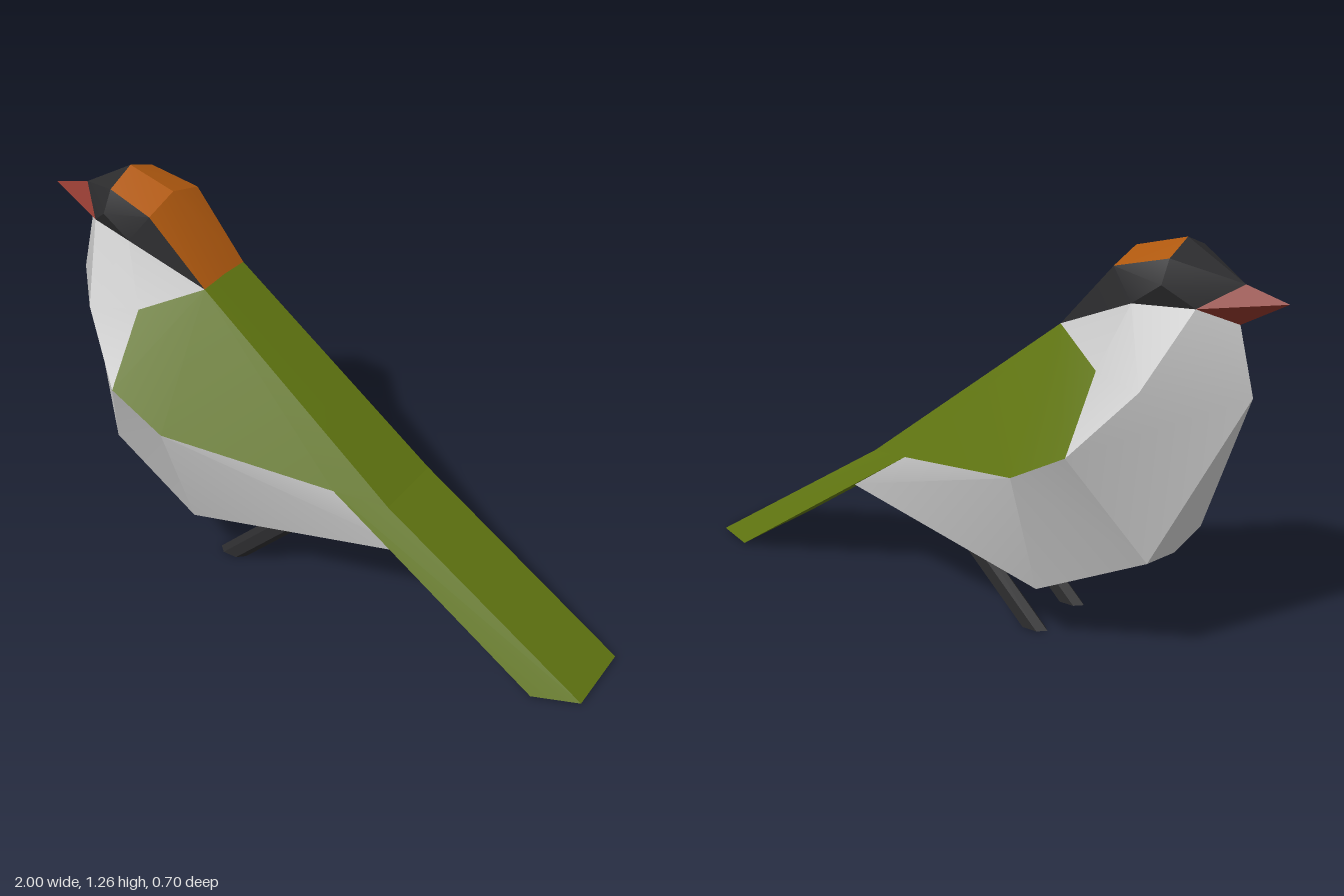
import * as THREE from 'three';
import { toCreasedNormals } from 'three/addons/utils/BufferGeometryUtils.js';

// Key points of the left half (+z); points with z = 0 lie on the centre line
const P = {
  beakTip: [-1, 1.12, 0], beakTop: [-0.87, 1.155, 0], throat: [-0.86, 1.04, 0], cheek: [-0.77, 1.09, 0.09],
  crown: [-0.69, 1.26, 0], brow: [-0.69, 1.22, 0.1], temple: [-0.69, 1.155, 0.14], ear: [-0.6, 1.09, 0.14],
  capMid: [-0.53, 1.215, 0], capSide: [-0.53, 1.18, 0.12], napeMid: [-0.35, 0.985, 0], nape: [-0.35, 0.98, 0.1],
  chest: [-0.91, 0.84, 0], neck: [-0.69, 0.88, 0.24],
  wingTop: [-0.53, 0.9, 0.2], wingFront: [-0.53, 0.69, 0.35], wingLow: [-0.35, 0.59, 0.35], wingEnd: [0.16, 0.48, 0.175],
  breastMid: [-0.69, 0.32, 0], breast: [-0.69, 0.345, 0.16], bellyMid: [-0.35, 0.16, 0], belly: [-0.35, 0.19, 0.21],
  rumpMid: [0.44, 0.295, 0], rump: [0.44, 0.295, 0.09],
  tailRootMid: [0.32, 0.45, 0], tailRoot: [0.32, 0.45, 0.12], tailTipMid: [1, 0.005, 0], tailTip: [1, 0.005, 0.12],
  tailEdge: [0.86, 0.005, 0.175], tailEdgeMid: [0.86, 0.005, 0], tailUnderMid: [0.16, 0.48, 0],
};

// Fans each named polygon, mirrors it in z and turns it away from the part's inside point
function shell(name, color, inside, polygons) {
  const pos = [];
  const centre = new THREE.Vector3(...inside);
  const tri = new THREE.Triangle();
  const n = new THREE.Vector3(), out = new THREE.Vector3();
  for (const side of [1, -1]) {
    for (const polygon of polygons) {
      const pts = polygon.split(' ').map((k) => new THREE.Vector3(P[k][0], P[k][1], P[k][2] * side));
      for (let i = 1; i < pts.length - 1; i++) {
        tri.set(pts[0], pts[i], pts[i + 1]);
        tri.getNormal(n);
        tri.getMidpoint(out).sub(centre);
        const order = n.dot(out) > 0 ? [tri.a, tri.b, tri.c] : [tri.a, tri.c, tri.b];
        order.forEach((v) => pos.push(v.x, v.y, v.z));
      }
    }
  }
  const geo = new THREE.BufferGeometry();
  geo.setAttribute('position', new THREE.Float32BufferAttribute(pos, 3));
  const mesh = new THREE.Mesh(toCreasedNormals(geo, 0.5), new THREE.MeshStandardMaterial({ color }));
  mesh.name = name;
  return mesh;
}

// Six-sided leg, slanted forward towards the foot
function leg(name, z) {
  const h = 0.26;
  const geo = new THREE.CylinderGeometry(1, 1, h, 6);
  geo.rotateY(Math.PI / 6);
  geo.scale(0.05, 1, 0.027);
  geo.translate(0, h / 2, 0);
  const p = geo.attributes.position;
  for (let i = 0; i < p.count; i++) p.setX(i, p.getX(i) + p.getY(i));
  geo.computeVertexNormals();
  const mesh = new THREE.Mesh(geo, new THREE.MeshStandardMaterial({ color: 0x2c2c2e, flatShading: true }));
  mesh.position.set(-0.275, 0, z);
  mesh.name = name;
  return mesh;
}

export function createModel() {
  const bird = new THREE.Group();
  bird.name = 'bird';
  const green = 0x5f7410;

  bird.add(
    shell('beak', 0x8a3329, [-0.87, 1.1, 0], ['beakTip beakTop cheek', 'beakTip cheek throat']),

    // Dark face and cheeks
    shell('face', 0x2c2c2e, [-0.62, 1.1, 0], [
      'beakTop temple brow crown', 'beakTop cheek temple', 'cheek ear temple',
      'temple ear capSide brow', 'ear nape capSide',
    ]),

    shell('cap', 0xb0590f, [-0.62, 1.1, 0], ['crown brow capSide capMid', 'capMid capSide nape napeMid']),

    // Pale throat, breast and belly
    shell('body', 0xcccccc, [-0.45, 0.65, 0], [
      'cheek throat chest', 'cheek chest neck', 'cheek neck ear', 'ear neck wingTop', 'ear wingTop nape',
      'neck chest wingFront', 'neck wingFront wingTop', 'chest breastMid breast', 'chest breast wingFront',
      'wingFront breast wingLow', 'wingLow breast belly', 'wingLow belly rump wingEnd',
      'breast breastMid bellyMid belly', 'belly bellyMid rumpMid rump',
    ]),

    // Back and folded wings
    shell('wingsAndBack', green, [-0.3, 0.6, 0], [
      'nape wingTop wingFront wingLow wingEnd', 'nape wingEnd tailRoot', 'nape tailRoot tailRootMid napeMid',
    ]),

    shell('tail', green, [0.55, 0.26, 0], [
      'wingEnd tailEdge tailTip tailRoot', 'tailRoot tailTip tailTipMid tailRootMid',
      'tailEdge tailEdgeMid tailTipMid tailTip', 'wingEnd tailUnderMid tailEdgeMid tailEdge',
    ]),

    leg('leftLeg', 0.105),
    leg('rightLeg', -0.105),
  );
  return bird;
}
